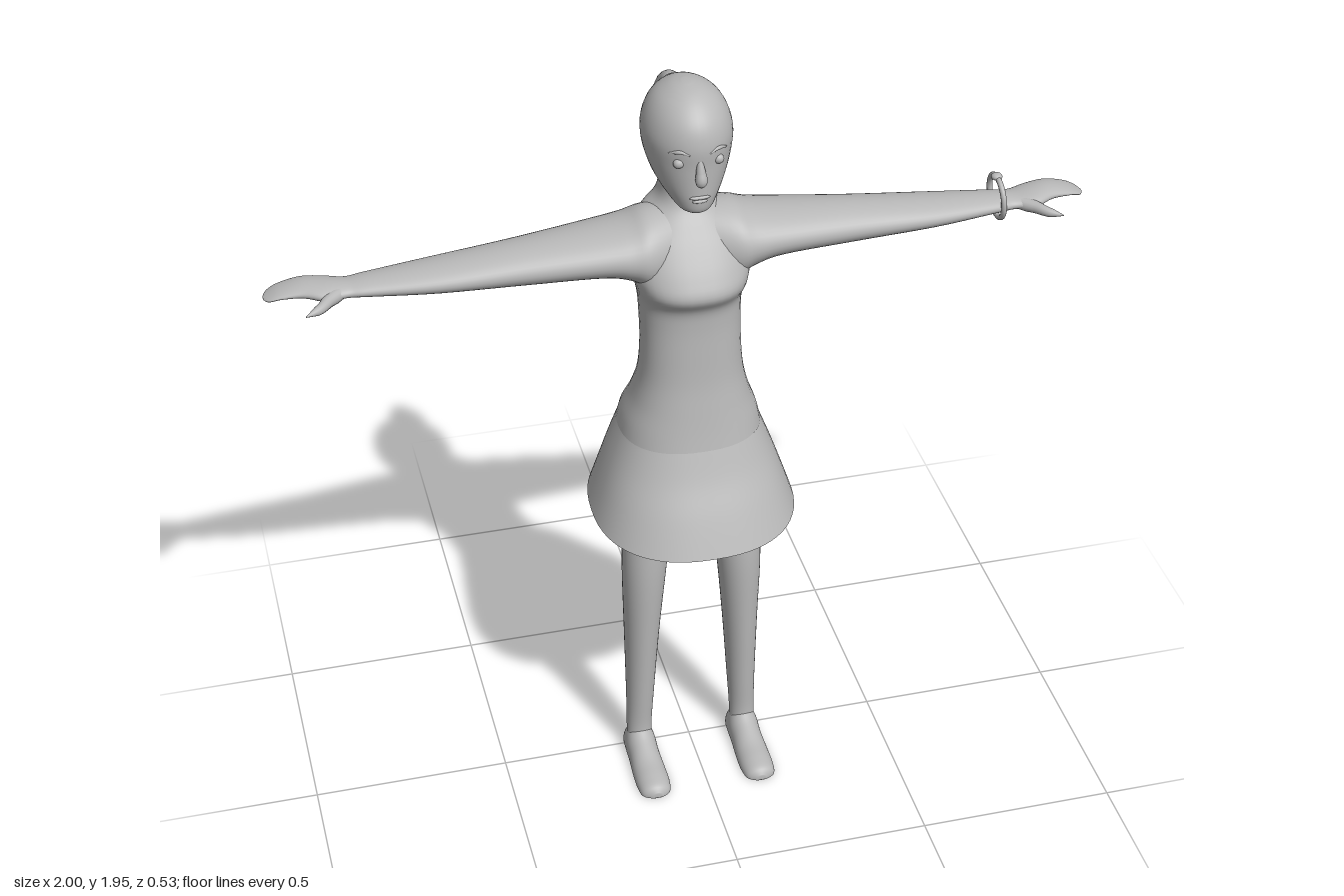
import * as THREE from 'three';

const grey = new THREE.MeshStandardMaterial({ color: 0xb8b8b8, side: THREE.DoubleSide });
grey.name = 'plain grey';

// Axis layouts: (distance along the loft, first cross axis, second cross axis) -> point
const alongY = (t, a, b) => [b, t, a];
const alongX = (t, a, b) => [t, a, b];
const alongZ = (t, a, b) => [a, b, t];

function spline(p0, p1, p2, p3, t) {
  return 0.5 * (2 * p1 + (p2 - p0) * t + (2 * p0 - 5 * p1 + 4 * p2 - p3) * t * t
    + (3 * p1 - p0 - 3 * p2 + p3) * t * t * t);
}

// Smooth skin over rounded sections; each row is [t, aMin, aMax, bMin, bMax]
function loft(rows, place, { power = 2, capped = true, seg = 40, steps = 5, bend } = {}) {
  const at = i => rows[Math.min(Math.max(i, 0), rows.length - 1)];
  const rings = [];
  for (let i = 0; i < rows.length - 1; i++) {
    for (let k = 0; k < steps; k++) {
      rings.push(rows[i].map((_, c) => spline(at(i - 1)[c], at(i)[c], at(i + 1)[c], at(i + 2)[c], k / steps)));
    }
  }
  rings.push(at(rows.length));
  const round = v => Math.sign(v) * Math.abs(v) ** (2 / power);
  const pos = [], idx = [];
  const add = (t, a, b) => {
    const p = place(t, a, b);
    if (bend) bend(p);
    pos.push(...p);
  };
  for (const [t, a0, a1, b0, b1] of rings) {
    for (let j = 0; j < seg; j++) {
      const ang = j / seg * Math.PI * 2;
      add(t, (a0 + a1) / 2 + (a1 - a0) / 2 * round(Math.cos(ang)),
        (b0 + b1) / 2 + (b1 - b0) / 2 * round(Math.sin(ang)));
    }
  }
  for (let i = 0; i < rings.length - 1; i++) {
    for (let j = 0; j < seg; j++) {
      const n = (j + 1) % seg, a = i * seg + j, b = i * seg + n;
      idx.push(a, b, b + seg, a, b + seg, a + seg);
    }
  }
  if (capped) {
    for (const end of [0, rings.length - 1]) {
      const [t, a0, a1, b0, b1] = rings[end], c = pos.length / 3;
      add(t, (a0 + a1) / 2, (b0 + b1) / 2);
      for (let j = 0; j < seg; j++) {
        const a = end * seg + j, b = end * seg + (j + 1) % seg;
        idx.push(c, ...(end ? [a, b] : [b, a]));
      }
    }
  }
  const g = new THREE.BufferGeometry();
  g.setAttribute('position', new THREE.Float32BufferAttribute(pos, 3));
  g.setIndex(idx);
  g.computeVertexNormals();
  return g;
}

// Tube whose radius follows a list of values along its path
function taperedTube(points, radii, seg = 24, sides = 16) {
  const curve = new THREE.CatmullRomCurve3(points.map(p => new THREE.Vector3(...p)));
  const g = new THREE.TubeGeometry(curve, seg, 1, sides);
  const p = g.attributes.position, v = new THREE.Vector3();
  for (let i = 0; i <= seg; i++) {
    const c = curve.getPointAt(i / seg), f = i / seg * (radii.length - 1), k = Math.min(Math.floor(f), radii.length - 2);
    const r = THREE.MathUtils.lerp(radii[k], radii[k + 1], f - k);
    for (let j = 0; j <= sides; j++) {
      const n = i * (sides + 1) + j;
      v.fromBufferAttribute(p, n).sub(c).multiplyScalar(r).add(c);
      p.setXYZ(n, v.x, v.y, v.z);
    }
  }
  return g;
}

function mirrored(geometry) {
  const g = geometry.clone().scale(-1, 1, 1), ix = g.index.array;
  for (let i = 0; i < ix.length; i += 3) [ix[i], ix[i + 1]] = [ix[i + 1], ix[i]];
  return g;
}

const ball = (x, y, z, rx, ry, rz) => new THREE.SphereGeometry(1, 16, 12).scale(rx, ry, rz).translate(x, y, z);

export function createModel() {
  const model = new THREE.Group();
  const part = (name, geometry) => {
    const m = new THREE.Mesh(geometry, grey);
    m.name = name;
    model.add(m);
  };
  const pair = (name, geometry) => {
    part('left' + name, geometry);
    part('right' + name, mirrored(geometry));
  };

  // Bodice with bust, shoulders and neck
  part('torso', loft([
    [1.02, -0.17, 0.15, -0.178, 0.178], [1.07, -0.155, 0.14, -0.167, 0.167],
    [1.13, -0.12, 0.13, -0.145, 0.145], [1.2, -0.093, 0.12, -0.128, 0.128],
    [1.28, -0.088, 0.115, -0.122, 0.122], [1.36, -0.1, 0.112, -0.122, 0.122],
    [1.41, -0.11, 0.117, -0.125, 0.125], [1.455, -0.12, 0.143, -0.135, 0.135],
    [1.5, -0.127, 0.125, -0.145, 0.145], [1.56, -0.132, 0.085, -0.14, 0.14],
    [1.605, -0.132, 0.05, -0.108, 0.108], [1.64, -0.13, 0.022, -0.068, 0.068],
    [1.68, -0.127, 0.01, -0.055, 0.055], [1.74, -0.12, 0.01, -0.055, 0.055],
  ], alongY, { power: 2.3, capped: false }));

  // Flared skirt, open below, its hem dipping to the front
  part('skirt', loft([
    [1.03, -0.168, 0.149, -0.176, 0.176], [0.96, -0.185, 0.18, -0.203, 0.203],
    [0.89, -0.203, 0.22, -0.228, 0.228], [0.81, -0.225, 0.262, -0.255, 0.255],
  ].reverse(), alongY, {
    power: 2.35, capped: false, seg: 64,
    bend: p => { p[1] -= 0.095 * p[2] * (1.03 - p[1]) / 0.22; },
  }));

  // Arms run out into mitten hands
  pair('Arm', loft([
    [0.02, 1.43, 1.63, -0.11, 0.06], [0.1, 1.435, 1.63, -0.125, 0.09], [0.15, 1.465, 1.612, -0.125, 0.09],
    [0.22, 1.484, 1.6, -0.117, 0.083], [0.4, 1.49, 1.583, -0.093, 0.066],
    [0.6, 1.496, 1.562, -0.08, 0.05], [0.76, 1.504, 1.546, -0.065, 0.026],
    [0.81, 1.506, 1.541, -0.06, 0.018], [0.86, 1.507, 1.546, -0.072, 0.028],
    [0.91, 1.512, 1.545, -0.079, 0.004], [0.96, 1.512, 1.532, -0.078, -0.008],
    [0.988, 1.508, 1.519, -0.07, -0.016], [1.0, 1.508, 1.512, -0.05, -0.034],
  ], alongX));
  pair('Thumb', taperedTube([[0.82, 1.523, -0.005], [0.855, 1.522, 0.025], [0.88, 1.519, 0.052], [0.915, 1.514, 0.07]],
    [0.015, 0.017, 0.014, 0.011, 0.001]));

  // Legs meet under the skirt
  pair('Leg', loft([
    [0.03, -0.014, 0.055, 0.107, 0.174], [0.09, -0.015, 0.051, 0.107, 0.173],
    [0.2, -0.025, 0.06, 0.1, 0.173], [0.4, -0.036, 0.076, 0.086, 0.176],
    [0.6, -0.037, 0.088, 0.068, 0.18], [0.75, -0.045, 0.085, 0.05, 0.177],
    [0.84, -0.06, 0.085, 0.022, 0.175], [0.9, -0.085, 0.088, -0.008, 0.172],
    [1.03, -0.13, 0.1, -0.02, 0.15],
  ], alongY));

  // Flat-soled feet
  pair('Foot', loft([
    [-0.021, 0.12, 0.16, -0.02, 0.035], [-0.01, 0.104, 0.177, -0.04, 0.062],
    [0.03, 0.1, 0.181, -0.05, 0.085], [0.075, 0.1, 0.181, -0.045, 0.064],
    [0.13, 0.097, 0.184, -0.04, 0.045], [0.18, 0.097, 0.184, -0.035, 0.038],
    [0.215, 0.105, 0.177, -0.025, 0.03], [0.23, 0.128, 0.152, -0.01, 0.014],
  ], alongZ, { bend: p => { p[1] = Math.max(0, p[1]); } }));

  // Head with a narrow chin
  part('head', loft([
    [1.665, 0.035, 0.085, -0.02, 0.02], [1.675, 0.005, 0.1, -0.04, 0.04],
    [1.7, -0.07, 0.106, -0.062, 0.062], [1.74, -0.125, 0.107, -0.085, 0.085],
    [1.79, -0.15, 0.108, -0.101, 0.101], [1.84, -0.157, 0.11, -0.106, 0.106],
    [1.885, -0.147, 0.098, -0.095, 0.095], [1.92, -0.12, 0.07, -0.073, 0.073],
    [1.943, -0.08, 0.033, -0.04, 0.04], [1.952, -0.04, -0.01, -0.01, 0.01],
  ], alongY));

  // Face
  part('nose', taperedTube([[0, 1.82, 0.1], [0, 1.785, 0.113], [0, 1.765, 0.118], [0, 1.75, 0.1]],
    [0.004, 0.01, 0.015, 0.008]));
  part('upperLip', ball(0, 1.716, 0.105, 0.025, 0.005, 0.006));
  part('lowerLip', ball(0, 1.706, 0.104, 0.018, 0.005, 0.006));
  pair('Eye', ball(0.047, 1.805, 0.092, 0.013, 0.012, 0.011));
  pair('Brow', taperedTube([[0.022, 1.828, 0.106], [0.045, 1.836, 0.098], [0.068, 1.828, 0.08]],
    [0.002, 0.005, 0.002], 12, 8));

  // Ponytail and its tie
  part('ponytail', taperedTube([[0, 1.868, -0.13], [0, 1.876, -0.165], [0, 1.855, -0.2], [0, 1.8, -0.221],
    [0, 1.73, -0.227], [0, 1.66, -0.222], [0, 1.618, -0.217]],
    [0.02, 0.023, 0.029, 0.034, 0.038, 0.039, 0.034, 0.025, 0.001], 36));
  part('hairTie', new THREE.TorusGeometry(0.022, 0.008, 10, 24).translate(0, 1.874, -0.153));

  // Bracelet with a bead on the left wrist
  part('bracelet', new THREE.TorusGeometry(0.053, 0.007, 10, 40).rotateY(Math.PI / 2)
    .rotateZ(0.06).translate(0.777, 1.533, -0.028));
  part('braceletBead', ball(0.773, 1.588, -0.028, 0.014, 0.009, 0.014));

  return model;
}
